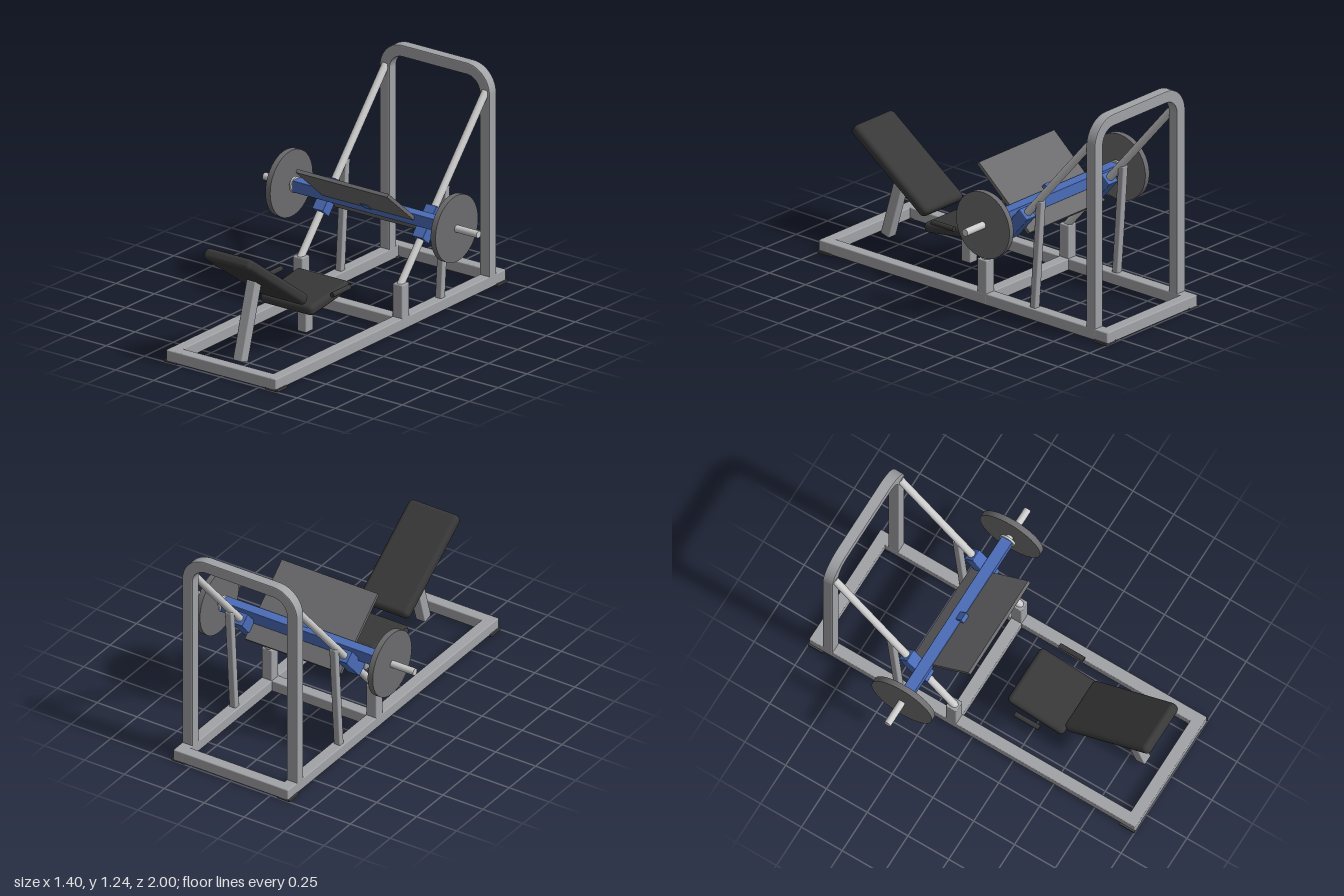
import * as THREE from 'three';
import { RoundedBoxGeometry } from 'three/addons/geometries/RoundedBoxGeometry.js';

export function createModel() {
  const root = new THREE.Group();
  const mat = (color) => new THREE.MeshStandardMaterial({ color });
  const frame = mat(0xa2a3a7), steel = mat(0xcccccc), blue = mat(0x4a6cb8);
  const padDark = mat(0x383838), plateGrey = mat(0x6c6c6e), rubber = mat(0x444444);

  function add(name, geo, material, x = 0, y = 0, z = 0) {
    const m = new THREE.Mesh(geo, material);
    m.name = name;
    m.position.set(x, y, z);
    root.add(m);
    return m;
  }
  const box = (w, h, d, r = 0.006) => new RoundedBoxGeometry(w, h, d, 2, r);

  // Part whose long local y axis runs between two [y, z] points at a given x
  function between(name, make, material, x, a, b) {
    const dy = b[0] - a[0], dz = b[1] - a[1];
    const m = add(name, make(Math.hypot(dy, dz)), material, x, (a[0] + b[0]) / 2, (a[1] + b[1]) / 2);
    m.rotation.x = Math.atan2(dz, dy);
    return m;
  }
  // Cylinder lying along x
  function axle(name, radius, length, material, x, y, z, seg = 32) {
    const geo = new THREE.CylinderGeometry(radius, radius, length, seg).rotateZ(Math.PI / 2);
    return add(name, geo, material, x, y, z);
  }

  const T = 0.065, X = 0.327, carY = 0.556, carZ = -0.31;
  const rodA = [0.23, -0.113], rodB = [1.1, -0.865];

  // Floor frame cross bars
  for (const [name, z] of [['frontBar', 0.967], ['middleBar', -0.13], ['rearBar', -0.967]])
    add(name, box(0.72, T, T), frame, 0, 0.037, z);

  // Rear hoop
  const outer = 0.36, inner = 0.295, top = 1.235, ro = 0.15, ri = 0.085, base = 0.037;
  const bev = 0.005;
  const hoop = new THREE.Shape();
  const o = outer - bev, i = inner + bev, yc = top - ro;
  hoop.moveTo(-o, base);
  hoop.lineTo(-o, yc);
  hoop.absarc(-(outer - ro), yc, ro - bev, Math.PI, Math.PI / 2, true);
  hoop.absarc(outer - ro, yc, ro - bev, Math.PI / 2, 0, true);
  hoop.lineTo(o, base);
  hoop.lineTo(i, base);
  hoop.lineTo(i, yc);
  hoop.absarc(outer - ro, yc, ri + bev, 0, Math.PI / 2, false);
  hoop.absarc(-(outer - ro), yc, ri + bev, Math.PI / 2, Math.PI, false);
  hoop.lineTo(-i, base);
  hoop.closePath();
  const hoopGeo = new THREE.ExtrudeGeometry(hoop, {
    depth: 0.05, bevelEnabled: true, bevelSize: bev, bevelThickness: bev, bevelSegments: 2, curveSegments: 16,
  });
  add('rearHoop', hoopGeo, frame, 0, 0, -0.91);

  // Parts repeated on both sides
  for (const s of [-1, 1]) {
    const x = s * X;
    add('sideRail', box(T, T, 2), frame, x, 0.037, 0);
    for (const e of [-1, 1])
      add('foot', new THREE.BoxGeometry(0.08, 0.012, 0.09), rubber, s * 0.33, 0.006, e * 0.955);
    add('rodPost', box(T, 0.22, T), frame, x, 0.145, -0.13);
    between('guideRod', (l) => new THREE.CylinderGeometry(0.021, 0.021, l, 24), steel, x, rodA, rodB);
    between('rodStrut', (l) => box(0.04, l, 0.038), frame, x, [0.04, -0.468], [0.68, -0.513]);

    // Sliding carriage ends
    between('slideBlock', (l) => box(0.072, l, 0.072, 0.004), blue, x, [0.443, -0.298], [0.587, -0.422]);
    axle('weightSleeve', 0.02, 0.22, steel, s * 0.59, carY, carZ, 24);
    axle('sleeveCollar', 0.045, 0.012, steel, s * 0.5, carY, carZ);
    axle('weightDisc', 0.185, 0.032, plateGrey, s * 0.541, carY, carZ, 48);

    // Hand grip beside the seat
    const grip = new THREE.CylinderGeometry(0.014, 0.014, 0.15, 20).rotateX(Math.PI / 2);
    add('handGrip', grip, padDark, s * 0.223, 0.303, 0.255);
  }

  // Carriage beam, foot plate and its bracket
  add('carriageBeam', box(1, T, T, 0.004), blue, 0, carY, carZ);
  between('footPlate', (l) => new THREE.BoxGeometry(0.6, l, 0.02), plateGrey, 0, [0.456, -0.405], [0.76, -0.053]);
  between('plateBracket', (l) => box(0.05, l, 0.05, 0.003), blue, 0, [0.565, -0.295], [0.6, -0.256]);

  // Seat and backrest with their posts
  between('seatPad', (l) => box(0.345, l, 0.058, 0.024), padDark, 0, [0.227, 0.44], [0.276, 0.097]);
  between('backPad', (l) => box(0.31, l, 0.065, 0.026), padDark, 0, [0.289, 0.445], [0.65, 0.949]);
  add('seatPost', box(0.06, 0.2, 0.064), frame, 0, 0.135, 0.268);
  between('backPost', (l) => box(0.06, l, 0.06), frame, 0, [0.037, 0.83], [0.45, 0.71]);

  return root;
}
